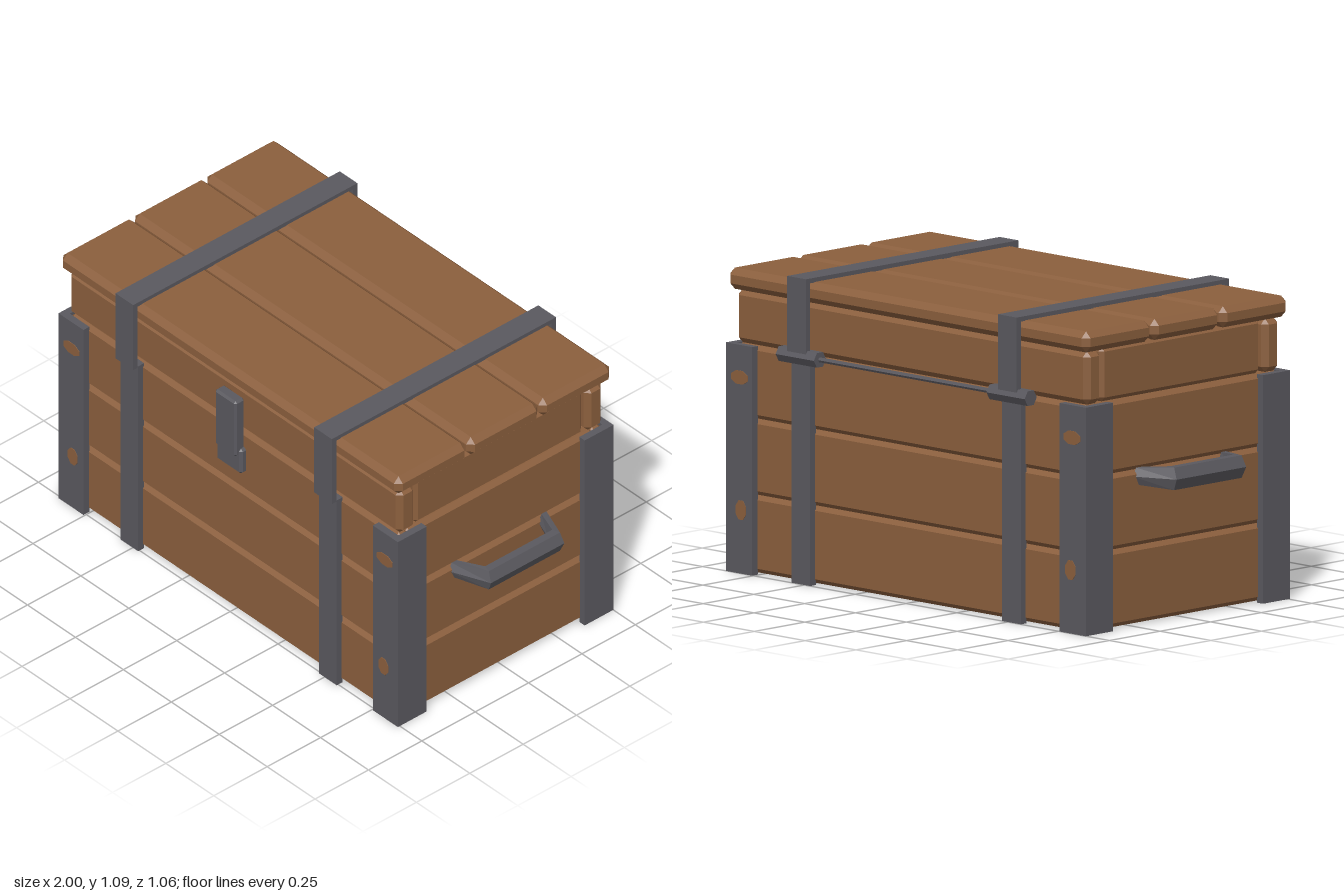
import * as THREE from 'three';
import { ConvexGeometry } from 'three/addons/geometries/ConvexGeometry.js';

const wood = new THREE.MeshStandardMaterial({ color: 0x8b5f3d, flatShading: true });
wood.name = 'wood';
const metal = new THREE.MeshStandardMaterial({ color: 0x5a595f, flatShading: true });
metal.name = 'metal';

// Block with chamfered edges spanning two opposite corners
function chamferBox(min, max, c) {
  const half = min.map((v, i) => (max[i] - v) / 2);
  const points = [];
  for (const sx of [-1, 1]) for (const sy of [-1, 1]) for (const sz of [-1, 1]) {
    for (let axis = 0; axis < 3; axis++) {
      const p = half.map((h, i) => (i === axis ? h : h - c));
      points.push(new THREE.Vector3(p[0] * sx, p[1] * sy, p[2] * sz));
    }
  }
  const geometry = new ConvexGeometry(points);
  return geometry.translate(...min.map((v, i) => (v + max[i]) / 2));
}

function box(min, max) {
  const geometry = new THREE.BoxGeometry(...min.map((v, i) => max[i] - v));
  return geometry.translate(...min.map((v, i) => (v + max[i]) / 2));
}

// Bent bar with a six-sided section, standing out towards +x
function handleGeometry() {
  const path = [ // inner x, z, outer x, z, half height
    [0.85, 0.185, 0.85, 0.236, 0.03], [0.935, 0.152, 1.0, 0.172, 0.04],
    [0.935, -0.152, 1.0, -0.172, 0.04], [0.85, -0.185, 0.85, -0.236, 0.03],
  ];
  const section = [[0, 0], [0.27, 1], [0.73, 1], [1, 0], [0.73, -1], [0.27, -1]];
  const positions = [];
  const index = [];
  path.forEach(([ix, iz, ox, oz, h], i) => section.forEach(([t, y], j) => {
    positions.push(ix + (ox - ix) * t, y * h, iz + (oz - iz) * t);
    if (i === path.length - 1) return;
    const a = i * 6 + j, b = i * 6 + (j + 1) % 6;
    index.push(a, b, b + 6, a, b + 6, a + 6);
  }));
  const geometry = new THREE.BufferGeometry();
  geometry.setAttribute('position', new THREE.Float32BufferAttribute(positions, 3));
  geometry.setIndex(index);
  geometry.computeVertexNormals();
  return geometry;
}

export function createModel() {
  const model = new THREE.Group();
  model.name = 'chest';
  const chest = new THREE.Group();
  chest.name = 'chestParts';
  chest.position.z = 0.004;
  model.add(chest);
  const add = (name, geometry, material) => {
    const mesh = new THREE.Mesh(geometry, material);
    mesh.name = name;
    chest.add(mesh);
    return mesh;
  };

  // Body walls: three planks per side
  const rows = [0.005, 0.28, 0.55, 0.81];
  for (let i = 0; i < 3; i++) {
    const y0 = rows[i], y1 = rows[i + 1];
    add('frontPlank', chamferBox([-0.86, y0, 0.425], [0.86, y1, 0.48], 0.016), wood);
    add('backPlank', chamferBox([-0.86, y0, -0.48], [0.86, y1, -0.425], 0.016), wood);
    add('leftPlank', chamferBox([0.805, y0, -0.44], [0.86, y1, 0.44], 0.016), wood);
    add('rightPlank', chamferBox([-0.86, y0, -0.44], [-0.805, y1, 0.44], 0.016), wood);
  }
  add('floor', box([-0.825, 0.022, -0.445], [0.825, 0.06, 0.445]), wood);

  // Lid frame and its three top boards
  for (const s of [-1, 1]) {
    const z = [0.4 * s, 0.48 * s].sort((a, b) => a - b);
    const x = [0.775 * s, 0.852 * s].sort((a, b) => a - b);
    add(s > 0 ? 'lidFront' : 'lidBack',
      chamferBox([-0.865, 0.81, z[0]], [0.865, 1.0, z[1]], 0.02), wood);
    add(s > 0 ? 'lidLeftEnd' : 'lidRightEnd',
      chamferBox([x[0], 0.81, -0.395], [x[1], 1.003, 0.395], 0.015), wood);
  }
  for (let i = -1; i <= 1; i++) {
    const z = i * 0.338;
    add('lidBoard', chamferBox([-0.885, 1.0, z - 0.166], [0.885, 1.075, z + 0.166], 0.022), wood);
  }

  // Angle irons on the four corners, with nail heads front and back
  for (const sx of [-1, 1]) for (const sz of [-1, 1]) {
    const corner = [[0.755, 0.505], [0.885, 0.505], [0.885, 0.37], [0.857, 0.37], [0.857, 0.477], [0.755, 0.477]];
    const shape = new THREE.Shape(corner.map(([x, z]) => new THREE.Vector2(x * sx, -z * sz)));
    const iron = new THREE.ExtrudeGeometry(shape, { depth: 0.81, bevelEnabled: false });
    add('cornerIron', iron.rotateX(-Math.PI / 2), metal);
    for (const [x, y, rx, ry] of [[0.817, 0.695, 0.044, 0.026], [0.81, 0.225, 0.027, 0.037]]) {
      const nail = add('nailHead', new THREE.CylinderGeometry(1, 1, 0.006, 8).rotateX(Math.PI / 2).rotateZ(Math.PI / 8), wood);
      nail.scale.set(rx, ry, 1);
      nail.position.set(x * sx, y, 0.504 * sz);
    }
  }

  // Straps on body and lid, with a hinge barrel behind each
  for (const s of [-1, 1]) {
    const x0 = s * 0.518 - 0.046, x1 = s * 0.518 + 0.046;
    add('bodyStrapFront', box([x0, 0, 0.475], [x1, 0.81, 0.503]), metal);
    add('bodyStrapBack', box([x0, 0, -0.503], [x1, 0.81, -0.475]), metal);
    add('lidStrapFront', box([x0, 0.805, 0.505], [x1, 1.09, 0.526]), metal);
    add('lidStrapBack', box([x0, 0.805, -0.524], [x1, 1.09, -0.504]), metal);
    add('lidStrapTop', box([x0, 1.073, -0.51], [x1, 1.09, 0.51]), metal);
    const barrel = add('hingeBarrel', new THREE.CylinderGeometry(0.03, 0.03, 0.188, 6), metal);
    barrel.rotation.z = Math.PI / 2;
    barrel.position.set(s * 0.518, 0.808, -0.503);
  }
  const rod = add('hingeRod', new THREE.CylinderGeometry(0.009, 0.009, 0.9, 6), metal);
  rod.rotation.z = Math.PI / 2;
  rod.position.set(0, 0.808, -0.503);

  // Latch
  add('latchCatch', chamferBox([-0.066, 0.637, 0.47], [0.066, 0.745, 0.505], 0.01), metal);
  add('latchHasp', chamferBox([-0.055, 0.717, 0.475], [0.055, 0.957, 0.521], 0.008), metal);

  // Carrying handles
  for (const s of [-1, 1]) {
    const handle = add(s > 0 ? 'leftHandle' : 'rightHandle', handleGeometry(), metal);
    handle.position.y = 0.526;
    handle.rotation.y = s > 0 ? 0 : Math.PI;
  }
  return model;
}
